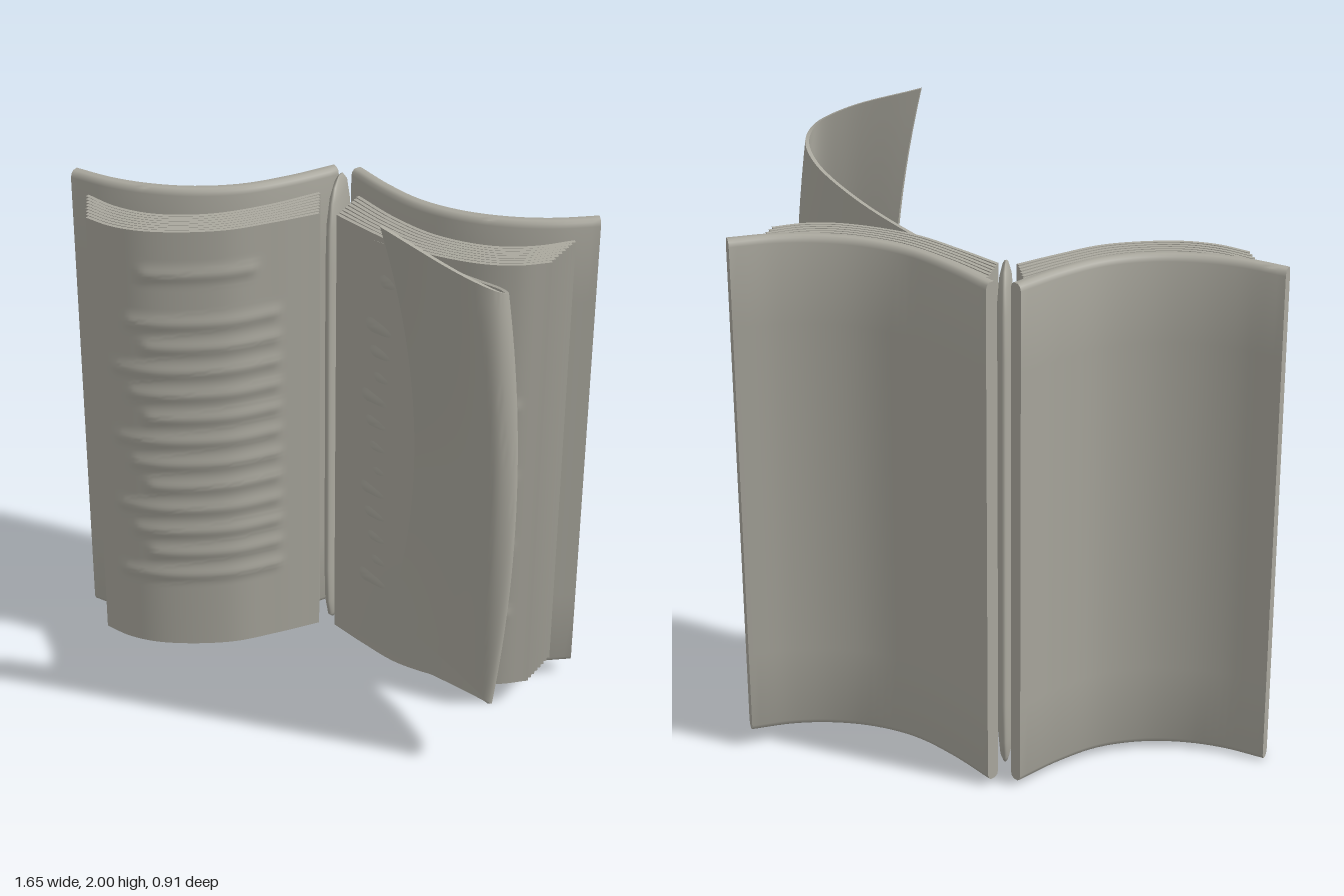
import * as THREE from 'three';
import { toCreasedNormals } from 'three/addons/utils/BufferGeometryUtils.js';

const V = (x, y, z) => new THREE.Vector3(x, y, z);
const TILT = 0.0366; // the whole book leans slightly sideways

// Solid sheet around a centre surface: centre(u, v) gives a point, u across and v upwards.
// relief(u, v) raises the front; soft narrows the top and bottom rims.
function sheet(centre, thickness, nu, nv, { relief = () => 0, soft = false } = {}) {
  const rows = Array.from({ length: nv + 1 }, (_, j) => [j / nv, 1]);
  if (soft) {
    rows.splice(1, 0, [0.004, 0.8], [0.012, 1]);
    rows.splice(rows.length - 1, 0, [0.988, 1], [0.996, 0.8]);
    rows[0][1] = rows[rows.length - 1][1] = 0.4;
  }
  const n = 2 * (nu + 1), pos = [], idx = [];
  for (const [v, k] of rows) {
    const front = [], back = [];
    for (let i = 0; i <= nu; i++) {
      const u = i / nu, p = centre(u, v);
      const t = centre(Math.min(1, u + 0.01), v).sub(centre(Math.max(0, u - 0.01), v));
      const normal = V(-t.z, 0, t.x).normalize();
      const half = thickness * k / 2;
      front.push(p.clone().addScaledVector(normal, half + relief(u, v)));
      back.push(p.clone().addScaledVector(normal, -half));
    }
    for (const p of [...front, ...back.reverse()]) pos.push(p.x, p.y, p.z);
  }
  const quad = (a, b, c, d) => idx.push(a, b, c, a, c, d);
  for (let j = 0; j < rows.length - 1; j++) {
    for (let i = 0; i < n; i++) {
      const a = j * n + i, b = j * n + (i + 1) % n;
      quad(a, b, b + n, a + n);
    }
  }
  const top = (rows.length - 1) * n;
  for (let i = 0; i < nu; i++) {
    quad(top + i, top + i + 1, top + n - 2 - i, top + n - 1 - i);
    quad(i + 1, i, n - 1 - i, n - 2 - i);
  }
  const g = new THREE.BufferGeometry();
  g.setAttribute('position', new THREE.Float32BufferAttribute(pos, 3));
  g.setIndex(idx);
  return toCreasedNormals(g, 0.7);
}

// Centre surface for one half of the book, from an [x, z] profile running out from the spine
function halfSurface(profile, side, low, high, lean) {
  const curve = new THREE.CatmullRomCurve3(profile.map(([x, z]) => V(x, 0, z)));
  return (u, v) => {
    const p = curve.getPoint(side > 0 ? u : 1 - u);
    p.x *= side;
    p.y = low + (high - low) * v + TILT * p.x + lean * (p.z + 0.3);
    return p;
  };
}

// Soft rows of ripples with uneven lengths, as on a printed page
function pageRelief(surface, side) {
  const smooth = THREE.MathUtils.smoothstep;
  return (u, v) => {
    const p = surface(u, v), x = Math.abs(p.x), y = p.y - TILT * p.x;
    const row = Math.round((y - 0.38) / 0.088);
    if (row < 0 || row > 13 || row === 12) return 0;
    const d = (y - 0.38 - row * 0.088) / 0.024;
    const a = row === 13 ? 0.2 : 0.14 + (side > 0 ? 0.04 * ((row * 3) % 4) / 3 : 0);
    const b = row === 13 ? 0.54 : 0.64 - 0.05 * ((row * 5) % 3);
    return 0.007 * Math.exp(-d * d) * smooth(x, a - 0.015, a + 0.015) * (1 - smooth(x, b - 0.02, b + 0.02));
  };
}

export function createModel() {
  const book = new THREE.Group();
  book.name = 'openBook';
  const stone = new THREE.MeshStandardMaterial({ color: 0xaaa89e });
  stone.name = 'warm grey';
  const add = (name, geometry, parent = book) => {
    const mesh = new THREE.Mesh(geometry, stone);
    mesh.name = name;
    parent.add(mesh);
    return mesh;
  };

  const coverProfile = [[0.035, -0.43], [0.15, -0.325], [0.28, -0.235], [0.42, -0.188],
    [0.56, -0.178], [0.69, -0.196], [0.82, -0.24]];
  const backPage = [[0.06, -0.33], [0.2, -0.21], [0.35, -0.12], [0.52, -0.085], [0.65, -0.11], [0.76, -0.17]];
  const frontPage = [[0.03, -0.2], [0.15, -0.115], [0.29, -0.03], [0.5, 0.02], [0.62, 0.01], [0.715, -0.03]];
  const LAYERS = 8;

  for (const side of [-1, 1]) {
    const label = side > 0 ? 'left' : 'right';
    // Cover board
    add(label + 'Cover', sheet(halfSurface(coverProfile, side, 0.03, 1.712, 0.07), 0.045, 32, 6, { soft: true }));

    // Fanned stack of pages, the front one carrying the ripples
    const stack = new THREE.Group();
    stack.name = label + 'Pages';
    book.add(stack);
    for (let i = 0; i < LAYERS; i++) {
      const t = i / (LAYERS - 1), isFront = i === LAYERS - 1;
      const profile = backPage.map(([x, z], k) => [
        THREE.MathUtils.lerp(x, frontPage[k][0], t), THREE.MathUtils.lerp(z, frontPage[k][1], t)]);
      const surface = halfSurface(profile, side, 0.075, 1.66, 0.05);
      add(isFront ? 'openPage' : 'page', isFront
        ? sheet(surface, 0.012, 48, 180, { relief: pageRelief(surface, side) })
        : sheet(surface, 0.012, 28, 2), stack);
    }
  }

  // Spine: flattened column with tapered ends
  const half = [[0, 0.035], [0.4, 0.05], [0.7, 0.085], [0.92, 0.16], [1, 0.3]];
  const outline = [...half, ...half.map(([r, y]) => [r, 1.76 - y]).reverse()];
  const spine = new THREE.LatheGeometry(outline.map(([r, y]) => new THREE.Vector2(r, y)), 32);
  spine.scale(0.026, 1, 0.127);
  add('spine', spine).position.z = -0.327;

  // Turning page: bottom, middle and top curves blended into a curl
  const curl = [
    [[0.03, 0.1, -0.2], [0.3, 0.14, -0.005], [0.5, 0.2, 0.15], [0.62, 0.25, 0.26], [0.65, 0.285, 0.315],
      [0.6, 0.34, 0.315], [0.5, 0.39, 0.27], [0.295, 0.465, 0.17]],
    [[0.03, 0.865, -0.2], [0.3, 0.91, 0], [0.5, 0.97, 0.155], [0.66, 1.03, 0.285], [0.7, 1.07, 0.345],
      [0.65, 1.12, 0.385], [0.55, 1.17, 0.36], [0.385, 1.23, 0.28]],
    [[0.03, 1.63, -0.2], [0.3, 1.68, -0.005], [0.5, 1.735, 0.17], [0.62, 1.79, 0.3], [0.653, 1.83, 0.385],
      [0.63, 1.865, 0.435], [0.53, 1.915, 0.45], [0.295, 2.0, 0.395]],
  ].map(points => new THREE.CatmullRomCurve3(points.map(p => V(...p))));
  const curlSurface = (u, v) => {
    const weights = [(1 - v) * (1 - 2 * v), 4 * v * (1 - v), v * (2 * v - 1)];
    return curl.reduce((sum, c, k) => sum.addScaledVector(c.getPoint(u), weights[k]), V(0, 0, 0));
  };
  add('turningPage', sheet(curlSurface, 0.012, 56, 24));

  return book;
}
